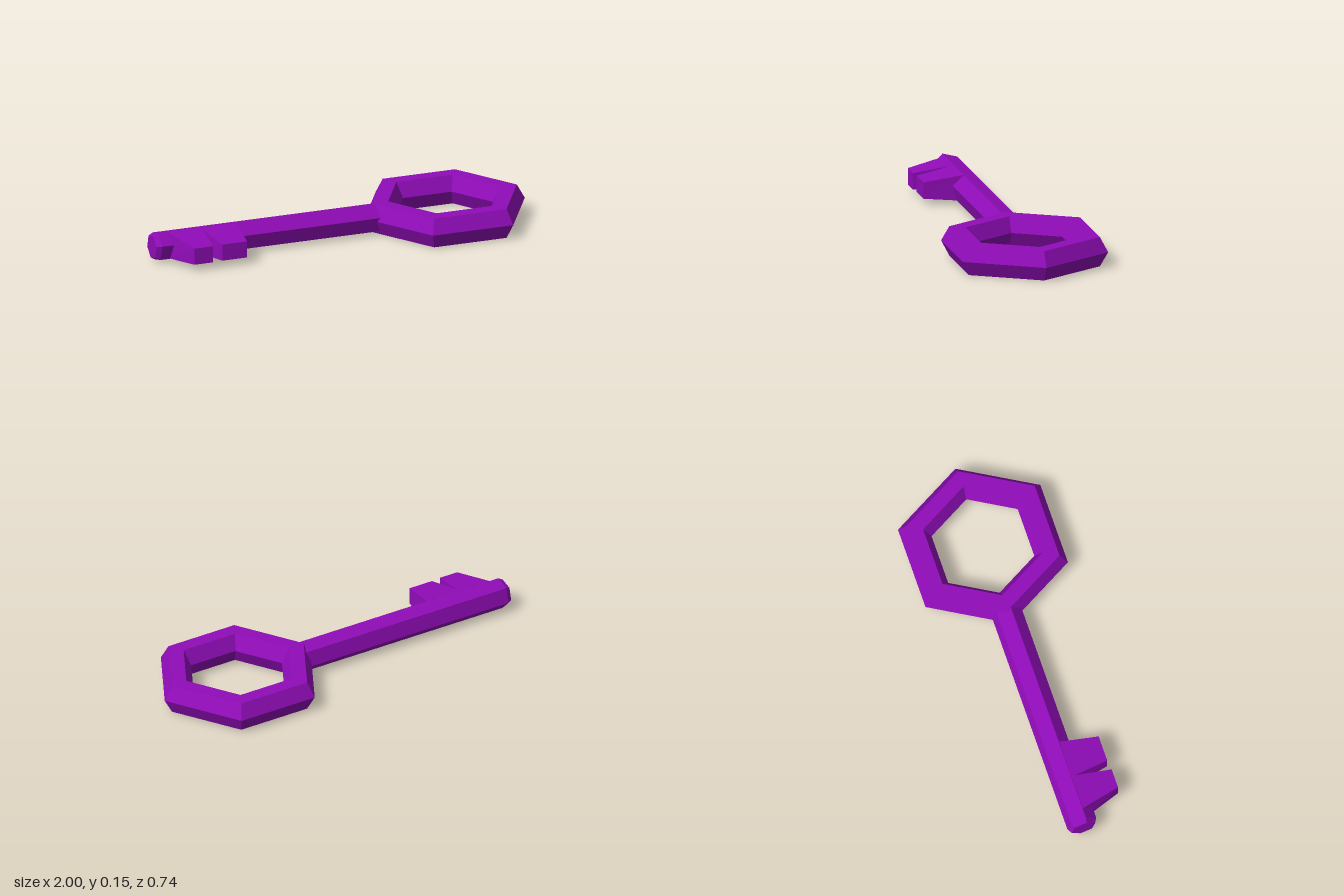
import * as THREE from 'three';

const purple = new THREE.MeshStandardMaterial({ color: 0x900cb8, flatShading: true });
purple.name = 'purple';

const MID = 0.075; // height of the key's centre line

function part(name, geometry) {
  const mesh = new THREE.Mesh(geometry, purple);
  mesh.name = name;
  return mesh;
}

// Tapered tooth that grows from the shaft's front faces
function tooth(name, baseX, tipX, tipZ) {
  const geometry = new THREE.BoxGeometry(1, 1, 1);
  const p = geometry.attributes.position;
  for (let i = 0; i < p.count; i++) {
    const side = p.getX(i) > 0 ? 1 : 0;
    const upper = p.getY(i) > 0;
    if (p.getZ(i) > 0) p.setXYZ(i, tipX[side], upper ? 0.118 : 0.034, tipZ);
    else p.setXYZ(i, baseX[side], upper ? 0.149 : 0.02, upper ? 0.022 : 0.05);
  }
  return part(name, geometry);
}

export function createModel() {
  const key = new THREE.Group();
  key.name = 'key';

  // Six-sided ring handle with a six-sided section
  const ring = new THREE.TorusGeometry(0.345, 0.085, 6, 6);
  ring.scale(1, 1, 1.02);
  ring.rotateX(-Math.PI / 2);
  ring.translate(0.57, MID, 0);
  key.add(part('ringHandle', ring));

  // Hexagonal shaft, slightly rolled, with a bevelled end
  const profile = [[0, -0.24], [0.0777, -0.24], [0.0777, 0.975], [0.063, 1], [0, 1]]
    .map(([r, y]) => new THREE.Vector2(r, y));
  const shaft = new THREE.LatheGeometry(profile, 6, Math.PI / 12);
  shaft.rotateZ(Math.PI / 2);
  shaft.translate(0, MID, 0);
  key.add(part('shaft', shaft));

  // Two teeth
  key.add(tooth('endTooth', [-0.925, -0.745], [-0.865, -0.765], 0.226));
  key.add(tooth('innerTooth', [-0.75, -0.555], [-0.713, -0.58], 0.22));

  return key;
}
